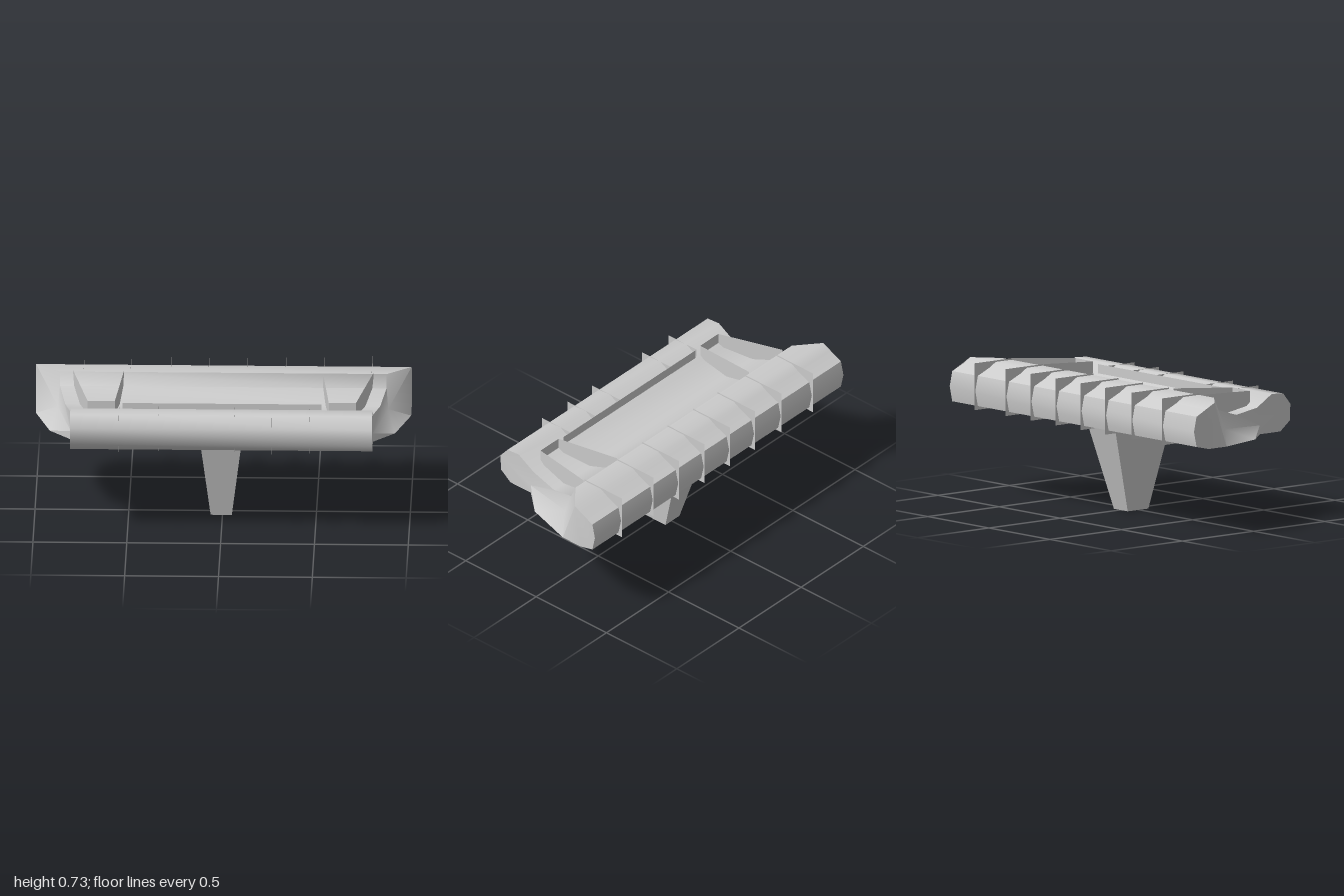
import * as THREE from 'three';
import { toCreasedNormals } from 'three/addons/utils/BufferGeometryUtils.js';

const solid = new THREE.MeshStandardMaterial({ color: 0xcccccc });
const thin = new THREE.MeshStandardMaterial({ color: 0xcccccc, side: THREE.DoubleSide });
const BASE = 0.477;

function fromTriangles(tris) {
  const geo = new THREE.BufferGeometry();
  geo.setAttribute('position', new THREE.Float32BufferAttribute(tris.flat(), 3));
  geo.computeVertexNormals();
  return geo;
}

function addMesh(parent, name, geo, mat) {
  const mesh = new THREE.Mesh(geo, mat);
  mesh.name = name;
  parent.add(mesh);
  return mesh;
}

// Vertical sheet standing between two plan points, each [x, z, top height]
function sheet(parent, name, [x0, z0, t0], [x1, z1, t1]) {
  const a = [x0, BASE, z0], b = [x1, BASE, z1], c = [x1, t1, z1], d = [x0, t0, z0];
  return addMesh(parent, name, fromTriangles([a, b, c, a, c, d]), thin);
}

// Hull: a closed side profile whose points each carry their own half-width
function hullGeometry() {
  const P = [ // [half-width, y, z], front -> top -> back -> underside
    [0.805, 0.62, 0.425], [0.805, 0.68, 0.375], [0.805, 0.686, 0.295], [0.805, 0.622, 0.19],
    [0.84, 0.607, 0.015], [0.87, 0.652, -0.135], [0.87, 0.722, -0.165], [1, 0.722, -0.275],
    [1, 0.695, -0.32], [1, 0.66, -0.4], [1, 0.58, -0.418], [1, 0.497, -0.4],
    [1, BASE, -0.315], [1, BASE, -0.19], [0.92, BASE, 0.08], [0.805, BASE, 0.21],
    [0.805, BASE, 0.355], [0.805, 0.53, 0.422],
  ];
  const J = [0.805, 0.525, 0.21], K = [0.88, 0.547, -0.1]; // foot of the tray's side wall
  const mirror = ([x, y, z]) => [-x, y, z];
  const tris = [];

  P.forEach((a, i) => {
    const d = P[(i + 1) % P.length], b = mirror(a), c = mirror(d);
    tris.push(a, d, c, a, c, b);
  });

  // End faces, listed clockwise as seen from +x and mirrored to -x
  const ends = [
    [...P.slice(0, 4), J, P[15], P[16], P[17]], // front roll end
    P.slice(7, 14),                             // back roll end
    [J, P[3], P[4], P[5], K],                   // tray side wall
    [K, P[5], P[6], P[7], P[13]],               // slanted shoulder
    [P[14], P[15], J, K, P[13]],                // low side wing
  ];
  for (const f of ends) {
    for (let i = 1; i < f.length - 1; i++) {
      tris.push(f[0], f[i + 1], f[i]);
      tris.push(mirror(f[0]), mirror(f[i]), mirror(f[i + 1]));
    }
  }
  return toCreasedNormals(fromTriangles(tris), 0.88);
}

// Tapered foot: a box with its top and bottom corners set separately
function footGeometry() {
  const geo = new THREE.BoxGeometry(1, 1, 1).toNonIndexed();
  const p = geo.attributes.position;
  for (let i = 0; i < p.count; i++) {
    const top = p.getY(i) > 0, right = p.getX(i) > 0, front = p.getZ(i) > 0;
    p.setXYZ(i,
      top ? (right ? 0.108 : -0.12) : (right ? 0.05 : -0.063),
      top ? BASE + 0.003 : 0,
      top ? (front ? 0.18 : -0.22) : (front ? 0.065 : -0.08));
  }
  geo.computeVertexNormals();
  return geo;
}

export function createModel() {
  const model = new THREE.Group();
  model.name = 'model';
  addMesh(model, 'hull', hullGeometry(), solid);
  addMesh(model, 'foot', footGeometry(), solid);

  // Thin fins across the two rolls
  const fins = new THREE.Group();
  fins.name = 'fins';
  for (const x of [-0.545, -0.335, 0.07, 0.268, 0.47])
    sheet(fins, 'frontFin', [x, 0.425, 0.686], [x, 0.22, 0.686]);
  for (const x of [-0.745, -0.495, -0.28, -0.08, 0.125, 0.33, 0.535, 0.79])
    sheet(fins, 'backFin', [x, -0.16, 0.73], [x, -0.425, 0.73]);
  model.add(fins);

  // Thin dividers standing in the tray
  const dividers = new THREE.Group();
  dividers.name = 'dividers';
  sheet(dividers, 'centreWall', [-0.53, 0.22, 0.69], [0.53, 0.22, 0.69]);
  for (const s of [-1, 1]) {
    sheet(dividers, 'innerRib', [s * 0.57, 0.22, 0.7], [s * 0.53, -0.16, 0.73]);
    sheet(dividers, 'outerRib', [s * 0.715, 0.22, 0.7], [s * 0.8, -0.16, 0.73]);
    sheet(dividers, 'ribFront', [s * 0.57, 0.22, 0.7], [s * 0.715, 0.22, 0.7]);
  }
  model.add(dividers);
  return model;
}
